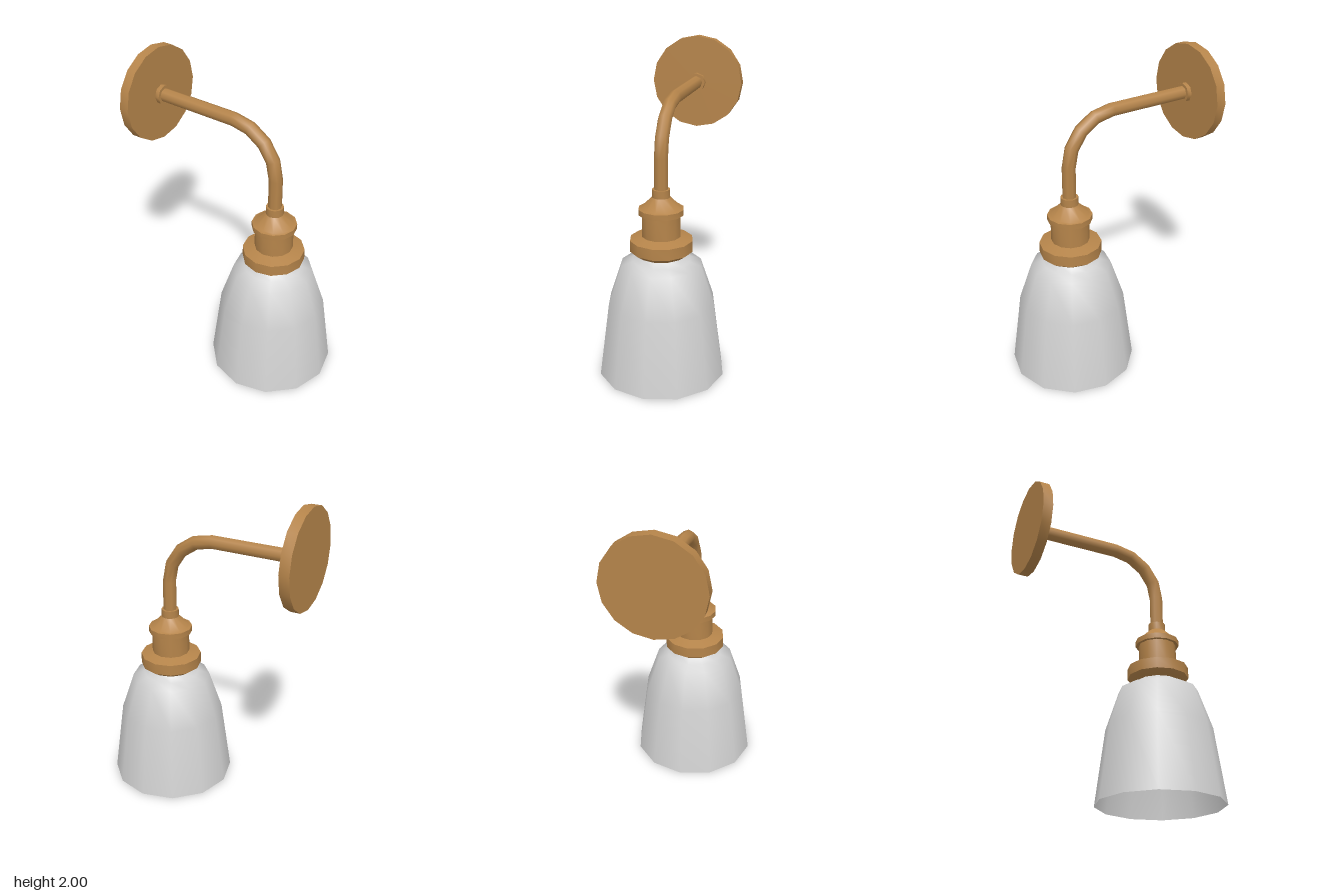
import * as THREE from 'three';
import { toCreasedNormals } from 'three/addons/utils/BufferGeometryUtils.js';

const ARM_Y = 1.695, SHADE_Z = 0.265, BEND = 0.305;

// Arm centreline: straight out from the wall, quarter bend, straight down
class ArmCurve extends THREE.Curve {
  getPointAt(u, target = new THREE.Vector3()) {
    const s = u * 6;
    if (s < 1) return target.set(0, ARM_Y, THREE.MathUtils.lerp(-0.6, SHADE_Z - BEND, s));
    if (s > 5) return target.set(0, THREE.MathUtils.lerp(ARM_Y - BEND, 1.18, s - 5), SHADE_Z);
    const a = ((s - 1) / 4) * Math.PI / 2;
    return target.set(0, ARM_Y - BEND + BEND * Math.cos(a), SHADE_Z - BEND + BEND * Math.sin(a));
  }
  getPoint(t, target) { return this.getPointAt(t, target); }
  getTangentAt(u, target = new THREE.Vector3()) {
    const a = THREE.MathUtils.clamp((u * 6 - 1) / 4, 0, 1) * Math.PI / 2;
    return target.set(0, -Math.sin(a), Math.cos(a));
  }
}

// Profile of [radius, y] pairs, listed from bottom to top
const lathe = (profile, sides) =>
  new THREE.LatheGeometry(profile.map(([r, y]) => new THREE.Vector2(r, y)), sides);

export function createModel() {
  const group = new THREE.Group();
  const brass = new THREE.MeshStandardMaterial({ color: 0xb5844a });
  brass.name = 'brass';
  const glass = new THREE.MeshStandardMaterial({ color: 0xd2d2d2, side: THREE.DoubleSide });
  glass.name = 'frostedGlass';

  const add = (name, geometry, material, x, y, z) => {
    const mesh = new THREE.Mesh(geometry, material);
    mesh.name = name;
    mesh.position.set(x, y, z);
    group.add(mesh);
  };
  const disc = (r, depth, sides) =>
    toCreasedNormals(new THREE.CylinderGeometry(r, r, depth, sides).rotateX(Math.PI / 2), 0.85);

  // Wall mount
  add('wallPlate', disc(0.306, 0.063, 16), brass, 0, ARM_Y, -0.635);
  add('armCollar', disc(0.062, 0.03, 8), brass, 0, ARM_Y, -0.59);

  // Bent arm
  add('arm', new THREE.TubeGeometry(new ArmCurve(), 6, 0.043, 8), brass, 0, 0, 0);

  // Stepped lamp holder
  const holder = lathe([
    [0, 0.78], [0.145, 0.78], [0.195, 0.815], [0.195, 0.885], [0.12, 0.905], [0.12, 1.045],
    [0.14, 1.045], [0.14, 1.08], [0.12, 1.085], [0.055, 1.15], [0.055, 1.2], [0, 1.2],
  ], 12);
  add('lampHolder', toCreasedNormals(holder, 0.75), brass, 0, 0, SHADE_Z);

  // Open bell shade
  add('shade', lathe([
    [0.4, 0], [0.335, 0.48], [0.252, 0.725], [0.18, 0.75], [0.145, 0.785],
  ], 12), glass, 0, 0, SHADE_Z);

  // Bulb inside the shade
  add('bulb', lathe([
    [0, 0.22], [0.08, 0.235], [0.14, 0.29], [0.16, 0.37], [0.14, 0.45], [0.08, 0.58], [0.07, 0.79],
  ], 12), brass, 0, 0, SHADE_Z);

  return group;
}
